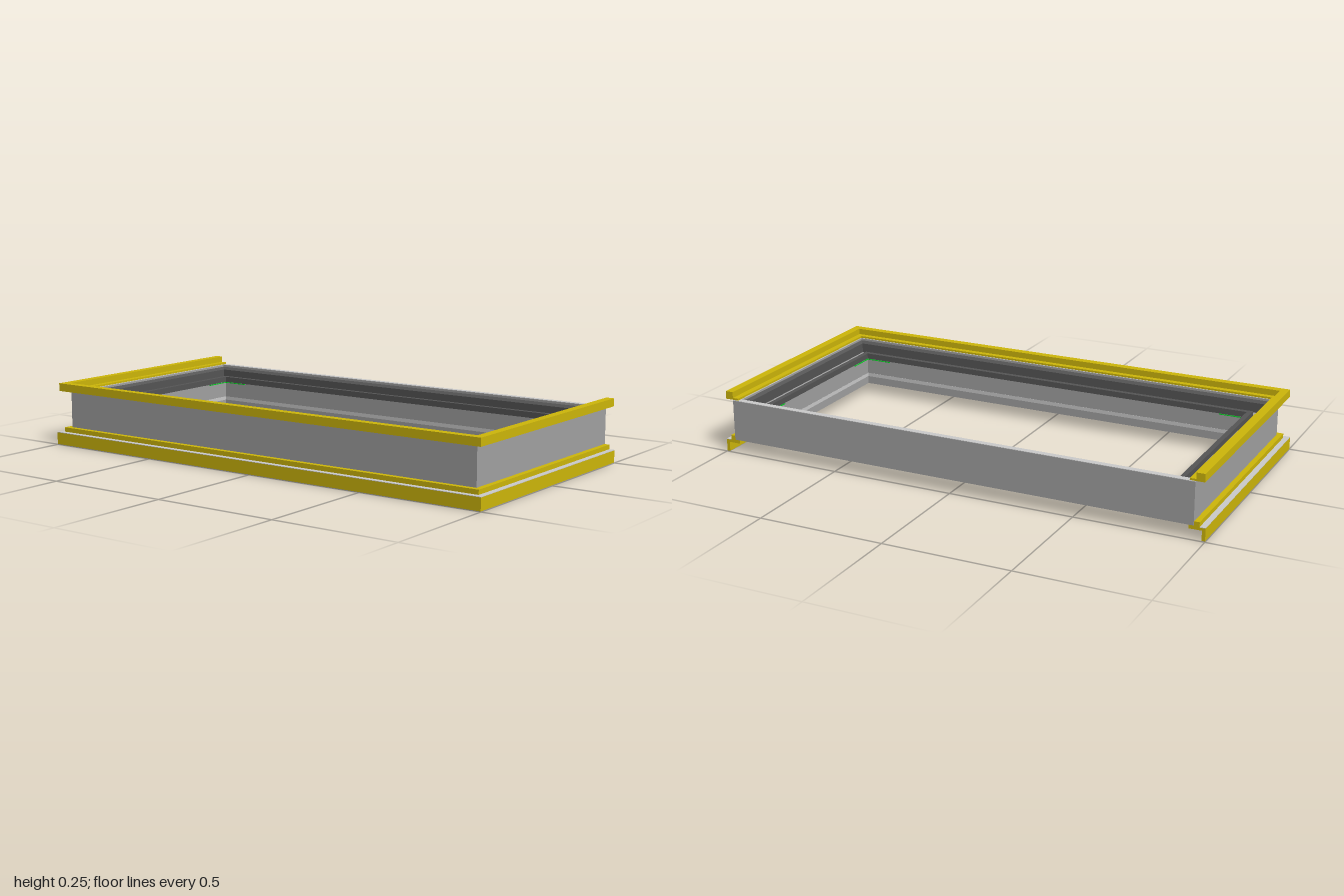
import * as THREE from 'three';

const material = (color) => new THREE.MeshStandardMaterial({ color, side: THREE.DoubleSide });
const grey = material(0xa1a1a1);
const lightGrey = material(0xcccccc);
const darkGrey = material(0x555555);
const yellow = material(0xceb70a);
const green = material(0x00d020);

// outer wall of the frame in plan
const WALL_X = 0.957, FRONT = 0.458, BACK = -0.5, TRIM_END = -0.497;

// Sweeps a [outward offset, y] profile with mitred corners,
// round all four walls (closed) or along both sides and the front only.
function sweep(name, mat, profile, closed) {
  let pts = profile.map(([d, y]) => new THREE.Vector2(d, y));
  if (THREE.ShapeUtils.isClockWise(pts)) pts = pts.reverse();
  const corners = [[-1, -1], [-1, 1], [1, 1], [1, -1]];
  const rings = corners.map(([sx, sz]) => pts.map((p) => {
    const back = closed ? BACK - p.x : TRIM_END;
    return [sx * (WALL_X + p.x), p.y, sz > 0 ? FRONT + p.x : back];
  }));
  const pos = [];
  const n = pts.length;
  for (let s = 0; s < (closed ? 4 : 3); s++) {
    const A = rings[s], B = rings[(s + 1) % 4];
    for (let i = 0; i < n; i++) {
      const j = (i + 1) % n;
      pos.push(...A[i], ...B[i], ...B[j], ...A[i], ...B[j], ...A[j]);
    }
  }
  if (!closed) {
    // end caps at the back
    for (const [a, b, c] of THREE.ShapeUtils.triangulateShape(pts, [])) {
      pos.push(...rings[0][a], ...rings[0][b], ...rings[0][c]);
      pos.push(...rings[3][c], ...rings[3][b], ...rings[3][a]);
    }
  }
  const geo = new THREE.BufferGeometry();
  geo.setAttribute('position', new THREE.Float32BufferAttribute(pos, 3));
  geo.computeVertexNormals();
  const mesh = new THREE.Mesh(geo, mat);
  mesh.name = name;
  return mesh;
}

const rect = (d0, d1, y0, y1) => [[d0, y0], [d1, y0], [d1, y1], [d0, y1]];

export function createModel() {
  const group = new THREE.Group();
  group.name = 'rectangularFrame';

  // main frame: plain outer wall, ledge inside, straight wall round the opening
  group.add(sweep('frameRing', grey, [
    [0, 0.055], [0, 0.218], [-0.024, 0.218], [-0.024, 0.16], [-0.078, 0.16],
    [-0.078, 0.157], [-0.098, 0.157], [-0.098, 0.045], [-0.07, 0.045], [-0.07, 0.055],
  ], true));
  group.add(sweep('rimCap', lightGrey, rect(-0.024, 0, 0.218, 0.22), true));
  group.add(sweep('innerWallStripe', lightGrey, rect(-0.0985, -0.097, 0.077, 0.092), true));

  // dark seals against the outer wall and along the edge of the opening
  group.add(sweep('outerSeal', darkGrey,
    [[-0.024, 0.16], [-0.024, 0.21], [-0.036, 0.2], [-0.036, 0.16]], true));
  group.add(sweep('innerSeal', darkGrey, rect(-0.098, -0.078, 0.157, 0.18), true));

  // lower trim: hanging lip, flange under the wall and a small step against it
  group.add(sweep('lowerTrim', yellow, [
    [0.03, 0.002], [0.043, 0.002], [0.043, 0.05], [0.021, 0.05], [0.021, 0.07],
    [0, 0.07], [0, 0.055], [-0.02, 0.055], [-0.02, 0.04], [0.03, 0.04],
  ], false));
  group.add(sweep('lowerTrimTopStrip', lightGrey, rect(0.021, 0.043, 0.05, 0.052), false));
  group.add(sweep('lowerTrimBottomEdge', grey, rect(0.03, 0.043, 0, 0.002), false));

  // upper trim: raised outer bar and a thin flange lying on the wall
  group.add(sweep('upperTrim', yellow, [
    [0, 0.2205], [0.034, 0.2205], [0.034, 0.252], [0.002, 0.252],
    [0.002, 0.228], [-0.022, 0.228], [-0.022, 0.2205],
  ], false));

  // thin corner markers under the inner seal
  const inX = WALL_X - 0.099, y = 0.155;
  for (const sx of [-1, 1]) {
    for (const [z, sz] of [[BACK + 0.099, -1], [FRONT - 0.099, 1]]) {
      const marker = new THREE.Group();
      marker.name = 'cornerMarker';
      const along = new THREE.Mesh(new THREE.BoxGeometry(0.11, 0.003, 0.005), green);
      along.position.set(sx * (inX - 0.055), y, z);
      const across = new THREE.Mesh(new THREE.BoxGeometry(0.005, 0.003, 0.11), green);
      across.position.set(sx * inX, y, z - sz * 0.055);
      marker.add(along, across);
      group.add(marker);
    }
  }
  return group;
}
